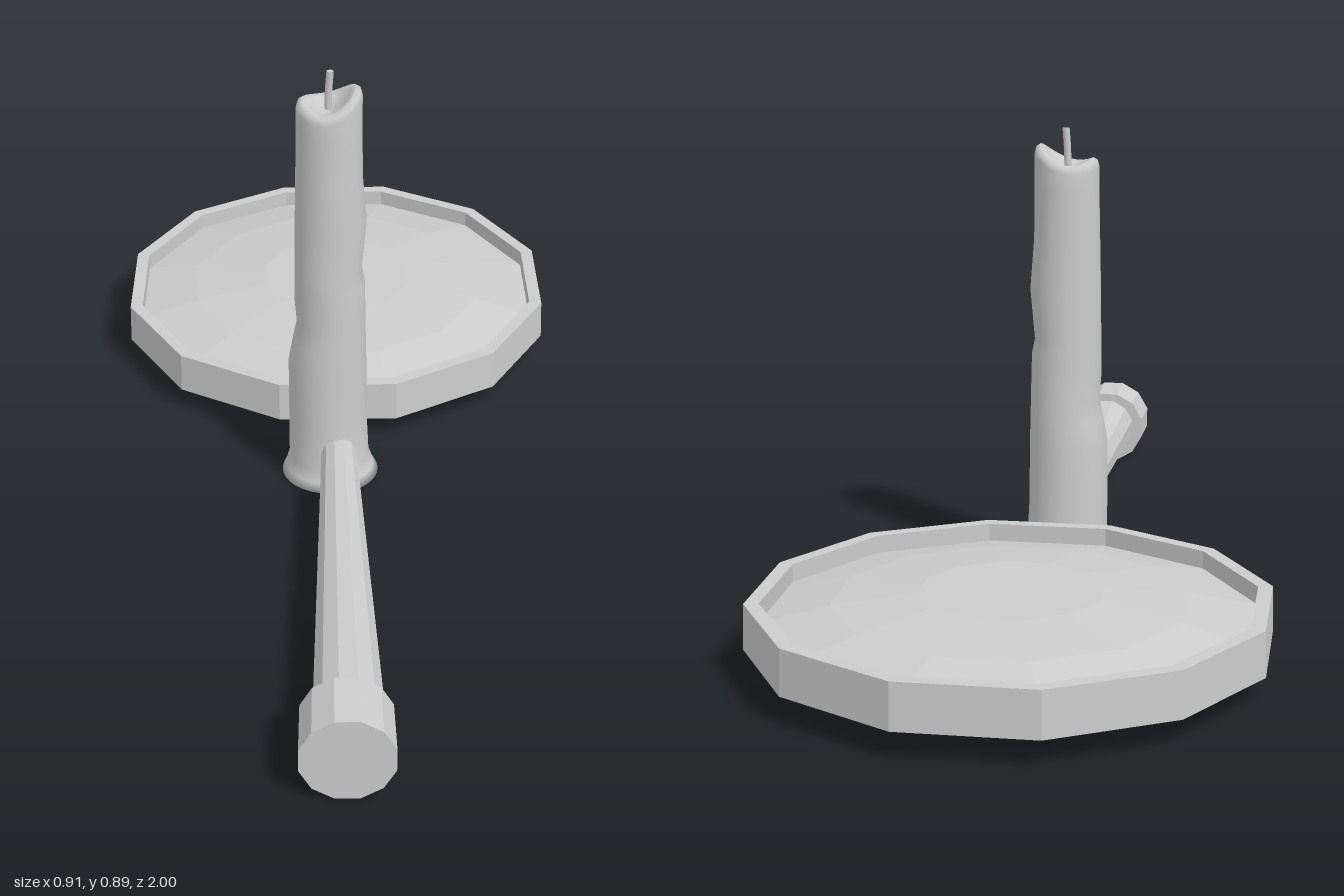
import * as THREE from 'three';

const flat = new THREE.MeshStandardMaterial({ color: 0xcccccc, flatShading: true });
const smooth = new THREE.MeshStandardMaterial({ color: 0xcccccc });

function add(parent, name, geometry, material, x = 0, y = 0, z = 0) {
  const mesh = new THREE.Mesh(geometry, material);
  mesh.name = name;
  mesh.position.set(x, y, z);
  parent.add(mesh);
  return mesh;
}

// Twelve-sided turned solid with flats facing the axes
function turned(points) {
  return new THREE.LatheGeometry(points.map(([r, y]) => new THREE.Vector2(r, y)), 12, Math.PI / 12);
}

// Skin over rings of points, listed from bottom to top
function loft(rings) {
  const n = rings[0].length, index = [];
  for (let i = 0; i < rings.length - 1; i++) {
    for (let j = 0; j < n; j++) {
      const a = i * n + j, b = i * n + (j + 1) % n;
      index.push(a, a + n, b, b, a + n, b + n);
    }
  }
  const g = new THREE.BufferGeometry();
  g.setAttribute('position', new THREE.Float32BufferAttribute(rings.flat(2), 3));
  g.setIndex(index);
  g.computeVertexNormals();
  return g;
}

// Uneven wax column with a flared foot, wavy lip and hollow top
function candleGeometry() {
  // height, left x, right x, back z, front z
  const sections = [
    [0.008, -0.115, 0.08, -0.072, 0.118], [0.025, -0.107, 0.07, -0.067, 0.11],
    [0.05, -0.1, 0.061, -0.062, 0.101], [0.15, -0.1, 0.056, -0.058, 0.1],
    [0.27, -0.1, 0.055, -0.054, 0.1], [0.32, -0.091, 0.054, -0.05, 0.098],
    [0.36, -0.083, 0.053, -0.048, 0.097], [0.41, -0.087, 0.052, -0.046, 0.096],
    [0.45, -0.086, 0.051, -0.045, 0.096], [0.48, -0.086, 0.045, -0.044, 0.095],
    [0.58, -0.085, 0.054, -0.043, 0.094], [0.68, -0.083, 0.046, -0.042, 0.092],
    [0.78, -0.081, 0.045, -0.041, 0.091],
  ];
  const n = 32;
  const ring = (l, r, b, f, height) => Array.from({ length: n }, (_, j) => {
    const a = j / n * Math.PI * 2;
    return [(l + r) / 2 + (r - l) / 2 * Math.cos(a), height(a), (b + f) / 2 + (f - b) / 2 * Math.sin(a)];
  });
  const rings = sections.map(([y, l, r, b, f]) => ring(l, r, b, f, () => y));
  rings.unshift(ring(-0.018, -0.018, 0.023, 0.023, () => 0.008));
  const wave = a => 0.013 * Math.cos(a) + 0.011 * Math.cos(2 * a);
  // scale of the top outline, height, share of the wave
  for (const [s, y, w] of [[1, 0.823, 1], [0.95, 0.835, 1], [0.82, 0.84, 1], [0.66, 0.835, 0.8], [0.4, 0.822, 0.3], [0, 0.817, 0]]) {
    rings.push(ring(-0.018 - 0.063 * s, -0.018 + 0.063 * s, 0.025 - 0.066 * s, 0.025 + 0.066 * s, a => y + w * wave(a)));
  }
  return loft(rings);
}

export function createModel() {
  const model = new THREE.Group();

  // Magnifying glass head
  const head = new THREE.Group();
  head.name = 'magnifierHead';
  head.position.set(0, 0.093, -0.545);
  head.rotation.z = 0.004;
  model.add(head);
  add(head, 'lensFrame', turned([[0.47, -0.041], [0.468, 0.042], [0.441, 0.042], [0.441, -0.041], [0.47, -0.041]]), flat);
  add(head, 'lens', turned([
    [0, -0.073], [0.165, -0.073], [0.32, -0.056], [0.442, -0.026],
    [0.442, 0.008], [0.32, 0.035], [0.165, 0.052], [0, 0.052],
  ]), flat);

  // Rod joining the frame to the handle
  const rod = add(model, 'connectingRod', new THREE.CylinderGeometry(0.011, 0.011, 0.22, 8), flat, -0.006, 0.091, 0.0);
  rod.rotation.x = Math.PI / 2;
  rod.scale.x = 1.9;

  // Tapered handle with end cap
  const handle = new THREE.Group();
  handle.name = 'handle';
  handle.position.set(0.003, 0.086, 1);
  handle.rotation.x = Math.PI / 2;
  model.add(handle);
  const grip = add(handle, 'handleGrip', new THREE.CylinderGeometry(0.064, 0.036, 0.81, 12, 1, false, Math.PI / 12), flat, 0, -0.505, -0.002);
  grip.rotation.z = -0.009;
  add(handle, 'handleCap', new THREE.CylinderGeometry(0.085, 0.083, 0.115, 12, 1, false, Math.PI / 12), flat, 0, -0.0575, 0);

  // Candle and wick
  add(model, 'candle', candleGeometry(), smooth);
  const wickPath = new THREE.CatmullRomCurve3([
    new THREE.Vector3(-0.02, 0.81, 0.024), new THREE.Vector3(-0.019, 0.855, 0.024), new THREE.Vector3(-0.016, 0.895, 0.025),
  ]);
  add(model, 'wick', new THREE.TubeGeometry(wickPath, 6, 0.007, 8), smooth);
  const tip = add(model, 'wickTip', new THREE.CircleGeometry(0.007, 8), smooth, -0.016, 0.895, 0.025);
  tip.rotation.x = -Math.PI / 2;

  return model;
}
